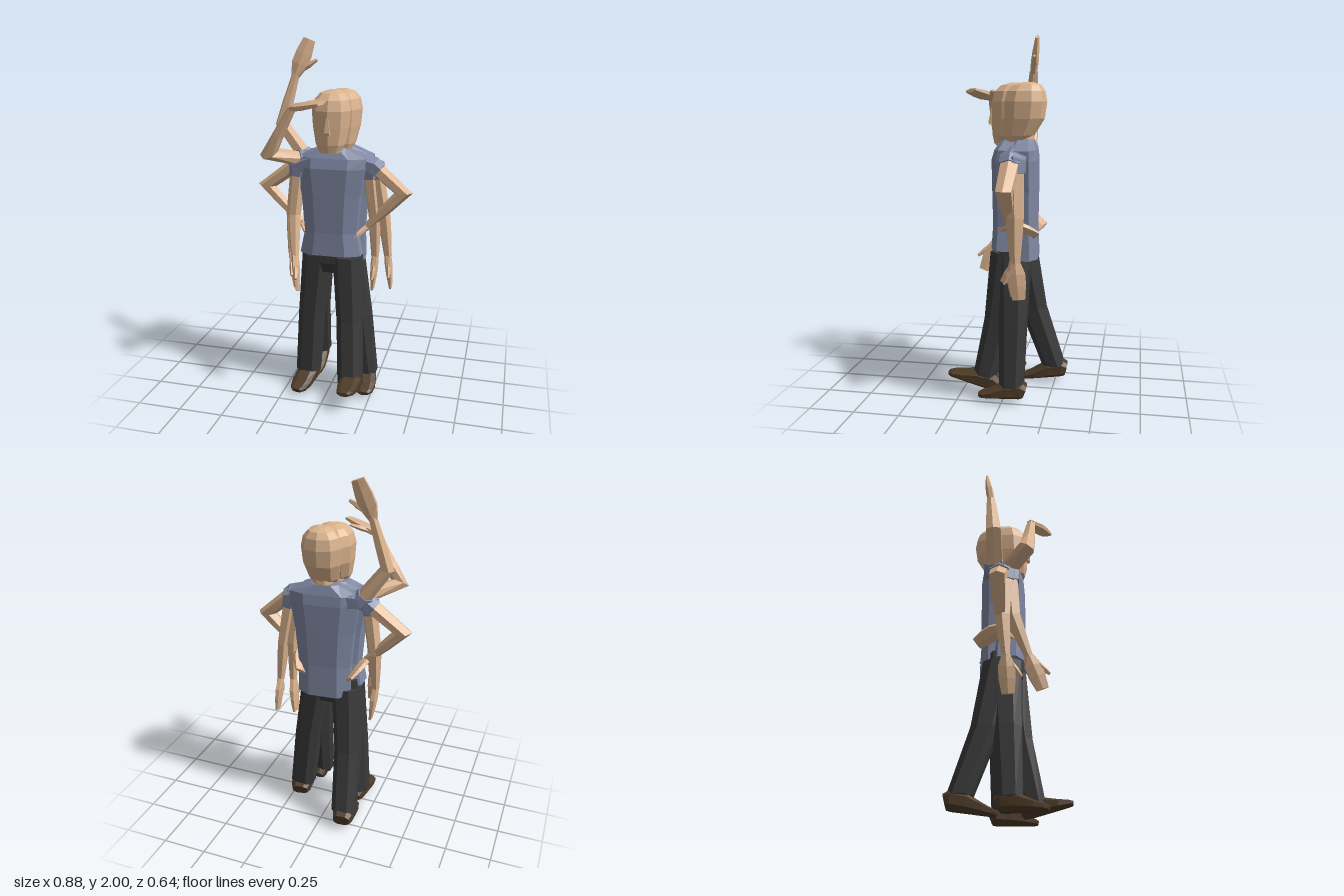
import * as THREE from 'three';

const V = (x, y, z) => new THREE.Vector3(x, y, z);
const material = (color) => new THREE.MeshStandardMaterial({ color, flatShading: true, side: THREE.DoubleSide });
const SKIN = material(0xdcb48f);
const SHIRT = material(0x8189a4);
const PANTS = material(0x3b3a3b);
const SHOE = material(0x4f3c28);

// Faceted skin over rings [x, y, z, halfWidth, halfDepth]; width lies along `hint`.
function loft(name, mat, rings, { hint = V(1, 0, 0), sides = 8, up = null, square = 1 } = {}) {
  const centres = rings.map((r) => V(r[0], r[1], r[2]));
  const dir = (a, b) => centres[b].clone().sub(centres[a]).normalize();
  const last = rings.length - 1;
  const pos = [];
  const index = [];
  rings.forEach((r, i) => {
    const before = dir(Math.max(i - 1, 0), Math.max(i, 1));
    const after = dir(Math.min(i, last - 1), Math.min(i + 1, last));
    const t = up ? up.clone() : before.clone().add(after).normalize();
    const miter = up ? 1 : 1 / Math.max(0.6, t.dot(before));
    const u = hint.clone().addScaledVector(t, -hint.dot(t)).normalize();
    const v = t.clone().cross(u);
    for (let k = 0; k < sides; k++) {
      const a = ((k + 0.5) / sides) * Math.PI * 2;
      const bend = (c) => Math.sign(c) * Math.abs(c) ** square * 1.06;
      const p = centres[i].clone()
        .addScaledVector(u, r[3] * bend(Math.cos(a)))
        .addScaledVector(v, r[4] * miter * bend(Math.sin(a)));
      pos.push(p.x, p.y, p.z);
    }
  });
  for (let i = 0; i < last; i++) {
    for (let k = 0; k < sides; k++) {
      const a = i * sides + k;
      const b = i * sides + ((k + 1) % sides);
      index.push(a, b, b + sides, a, b + sides, a + sides);
    }
  }
  for (let k = 1; k < sides - 1; k++) {
    index.push(0, k + 1, k);
    index.push(last * sides, last * sides + k, last * sides + k + 1);
  }
  const indexed = new THREE.BufferGeometry();
  indexed.setAttribute('position', new THREE.Float32BufferAttribute(pos, 3));
  indexed.setIndex(index);
  const geo = indexed.toNonIndexed();
  geo.computeVertexNormals();
  const mesh = new THREE.Mesh(geo, mat);
  mesh.name = name;
  return mesh;
}

const UP = V(0, 1, 0);

function head(name) {
  const g = new THREE.Group();
  g.name = name;
  g.add(loft('skull', SKIN, [
    [0, 1.408, 0.028, 0.055, 0.045],
    [0, 1.45, 0.002, 0.078, 0.08],
    [0, 1.54, -0.024, 0.097, 0.108],
    [0, 1.63, -0.03, 0.104, 0.114],
    [0, 1.685, -0.034, 0.092, 0.101],
    [0, 1.717, -0.042, 0.065, 0.074],
    [0, 1.731, -0.05, 0.025, 0.03],
  ], { up: UP, square: 0.85, sides: 10 }));
  g.add(loft('neck', SKIN, [[0, 1.36, -0.03, 0.055, 0.055], [0, 1.47, -0.025, 0.055, 0.055]], { up: UP }));
  g.add(loft('nose', SKIN, [
    [0, 1.505, 0.088, 0.02, 0.02],
    [0, 1.52, 0.09, 0.018, 0.022],
    [0, 1.6, 0.08, 0.009, 0.014],
  ], { up: UP, sides: 4 }));
  return g;
}

function torso(name, hemY, hemWidth) {
  return loft(name, SHIRT, [
    [0, hemY, -0.01, hemWidth, 0.092],
    [0, 0.96, -0.01, 0.146, 0.085],
    [0, 1.16, -0.01, 0.162, 0.088],
    [0, 1.32, -0.01, 0.188, 0.088],
    [0, 1.375, -0.015, 0.19, 0.076],
    [0, 1.428, -0.02, 0.075, 0.054],
  ], { up: UP, square: 0.7 });
}

// Arm with short sleeve, mitten hand and thumb; each argument is a joint or fingertip position.
function arm(name, shoulder, elbow, wrist, tip, thumbTip) {
  const g = new THREE.Group();
  g.name = name;
  const [s, e, w, t, th] = [shoulder, elbow, wrist, tip, thumbTip].map((p) => V(...p));
  const hint = V(0, 0, 1);
  const side = th.clone().sub(w);
  const ring = (p, a, b) => [p.x, p.y, p.z, a, b];
  g.add(loft('armSkin', SKIN, [
    ring(s, 0.052, 0.04),
    ring(e, 0.044, 0.033),
    ring(e.clone().lerp(w, 0.4), 0.037, 0.03),
    ring(w, 0.024, 0.021),
  ], { hint, sides: 6 }));
  const root = V(s.x * 0.55, 1.345, s.z);
  g.add(loft('sleeve', SHIRT, [
    ring(root, 0.066, 0.058),
    ring(s, 0.063, 0.049),
    ring(s.clone().lerp(e, 0.18), 0.058, 0.046),
  ], { hint, sides: 6 }));
  const along = (f) => w.clone().lerp(t, f);
  g.add(loft('hand', SKIN, [
    ring(along(-0.06), 0.023, 0.019),
    ring(along(0.3), 0.048, 0.021),
    ring(along(0.6), 0.048, 0.018),
    ring(along(1), 0.036, 0.01),
  ], { hint: side, sides: 6 }));
  const base = along(0.08);
  g.add(loft('thumb', SKIN, [
    ring(base, 0.018, 0.015),
    ring(base.clone().lerp(th, 0.6), 0.017, 0.013),
    ring(th, 0.008, 0.007),
  ], { hint: t.clone().sub(w), sides: 5 }));
  return g;
}

// Trouser leg from hip to ankle, and a shoe whose sole runs from heel to toe.
function leg(name, hip, knee, ankle, heel, toe) {
  const g = new THREE.Group();
  g.name = name;
  g.add(loft('trouserLeg', PANTS, [
    [...hip, 0.08, 0.095],
    [...knee, 0.07, 0.076],
    [...ankle, 0.068, 0.064],
  ], { up: V(0, -1, 0), square: 0.8 }));
  const a = V(...heel);
  const b = V(...toe);
  const lift = b.clone().sub(a).cross(V(1, 0, 0)).normalize();
  g.add(loft('shoe', SHOE, [
    [0, 0.046, 0.036],
    [0.1, 0.056, 0.046],
    [0.4, 0.058, 0.043],
    [0.72, 0.056, 0.025],
    [0.92, 0.045, 0.016],
    [1, 0.025, 0.011],
  ].map(([f, w, h]) => {
    const p = a.clone().lerp(b, f).addScaledVector(lift, h);
    return [p.x, p.y, p.z, w, h];
  }), { square: 0.7 }));
  return g;
}

export function createModel() {
  const model = new THREE.Group();
  model.name = 'overlappingFigures';

  // Heads and shirts of the front and rear figures
  const frontHead = head('frontHead');
  frontHead.position.set(0.0, 0, 0.007);
  const rearHead = head('rearHead');
  rearHead.position.set(0.036, 0, -0.062);
  rearHead.rotation.y = 0.06;
  const frontShirt = torso('frontShirt', 0.83, 0.172);
  const rearShirt = torso('rearShirt', 0.78, 0.15);
  rearShirt.position.set(0.025, 0, -0.068);
  rearShirt.rotation.y = 0.08;
  model.add(frontHead, rearHead, frontShirt, rearShirt);

  // Hips
  model.add(loft('hips', PANTS, [
    [0.005, 0.72, -0.035, 0.1, 0.08],
    [0.005, 0.78, -0.035, 0.165, 0.1],
    [0.005, 0.87, -0.035, 0.158, 0.095],
  ], { up: UP, square: 0.75 }));

  // Striding legs, then standing legs
  model.add(
    leg('leftStridingLeg', [0.09, 0.82, -0.015], [0.115, 0.45, 0.035], [0.138, 0.09, 0.115], [0.148, 0.035, 0.05], [0.148, 0.108, 0.32]),
    leg('rightStridingLeg', [-0.088, 0.82, -0.045], [-0.12, 0.45, -0.12], [-0.143, 0.1, -0.24], [-0.15, 0.035, -0.32], [-0.13, 0, -0.06]),
    leg('rightStandingLeg', [-0.088, 0.82, -0.03], [-0.122, 0.45, -0.01], [-0.14, 0.09, 0.005], [-0.13, 0.02, -0.06], [-0.16, 0.02, 0.195]),
    leg('leftStandingLeg', [0.09, 0.82, -0.045], [0.152, 0.45, -0.05], [0.193, 0.09, -0.05], [0.19, 0.02, -0.12], [0.225, 0.02, 0.13]),
  );

  // Hands on hips, mirrored, fingers to the back and thumbs to the front
  for (const s of [1, -1]) {
    model.add(arm(s > 0 ? 'leftHipArm' : 'rightHipArm', [s * 0.212 + 0.012, 1.325, -0.05], [s * 0.39, 1.185, -0.045],
      [s * 0.195, 0.985, -0.04], [s * 0.14, 0.92, -0.175], [s * 0.135, 0.935, 0.04]));
  }

  // Hanging and swinging arms
  model.add(
    arm('leftHangingArm', [0.2, 1.31, -0.05], [0.23, 1.04, -0.065], [0.235, 0.8, -0.07], [0.22, 0.6, -0.08], [0.23, 0.68, 0]),
    arm('leftSwingingArm', [0.23, 1.31, -0.07], [0.28, 1.03, -0.085], [0.305, 0.8, -0.09], [0.32, 0.61, -0.11], [0.32, 0.69, -0.03]),
    arm('rightHangingArm', [-0.2, 1.31, -0.02], [-0.24, 1.03, -0.03], [-0.24, 0.8, -0.01], [-0.215, 0.6, 0.0], [-0.22, 0.69, 0.07]),
    arm('rightSwingingArm', [-0.185, 1.31, 0.0], [-0.21, 1.04, 0.025], [-0.185, 0.82, 0.105], [-0.15, 0.645, 0.175], [-0.15, 0.73, 0.215]),
  );

  // Waving and saluting arms
  model.add(
    arm('wavingArm', [-0.17, 1.35, -0.08], [-0.305, 1.535, -0.075], [-0.23, 1.8, -0.1], [-0.16, 1.986, -0.13], [-0.115, 1.88, -0.12]),
    arm('salutingArm', [-0.17, 1.35, -0.015], [-0.322, 1.4, 0.11], [-0.18, 1.65, 0.13], [0.002, 1.69, 0.215], [-0.04, 1.69, 0.1]),
  );
  return model;
}
